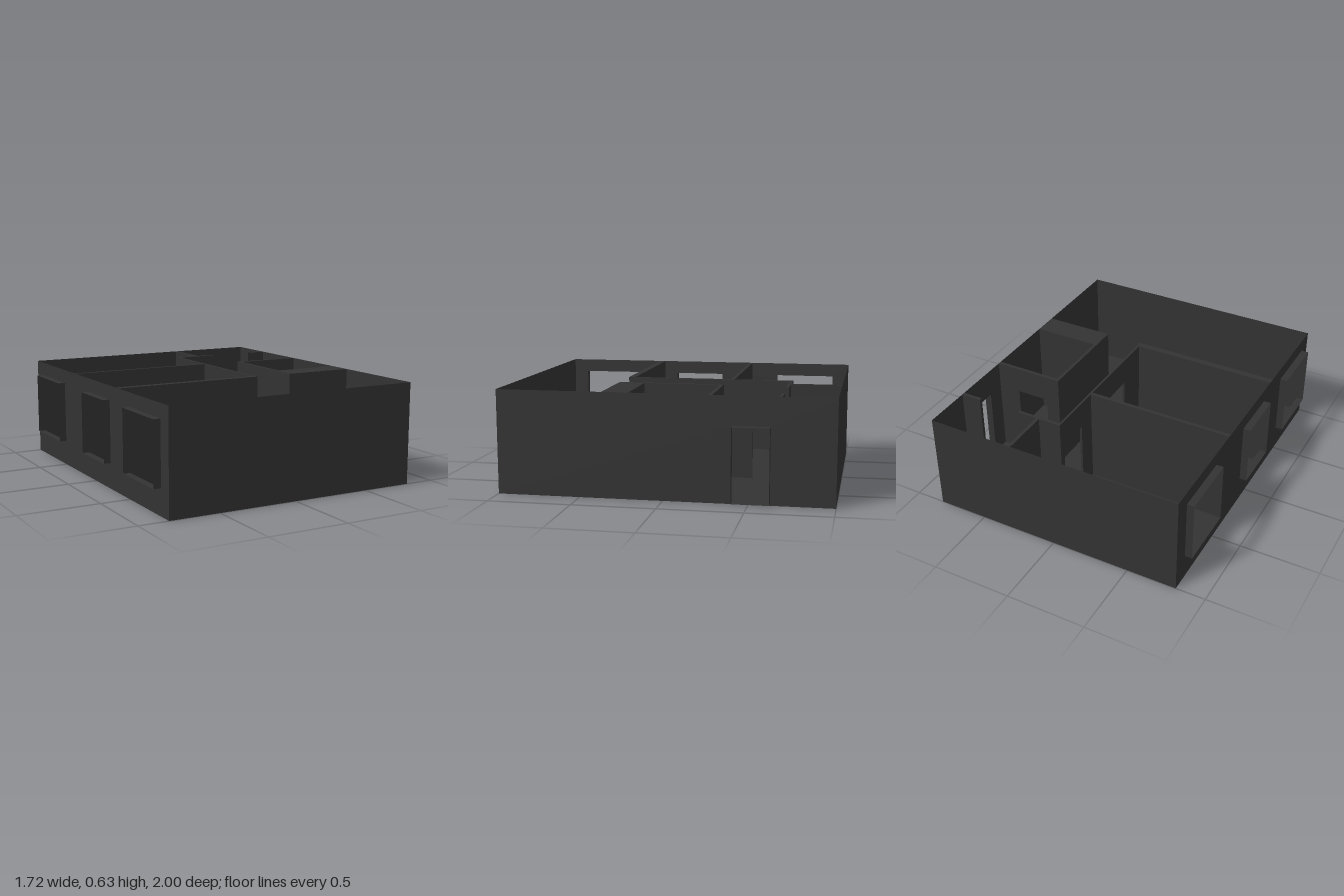
import * as THREE from 'three';

const H = 0.63;      // wall height
const X = 0.815;     // half width of the outer walls
const material = new THREE.MeshStandardMaterial({ color: 0x333333, side: THREE.DoubleSide });

// Wall outline from a to b; doors [from, to] are notches, windows [from, to, bottom, top] are holes.
function outline(a, b, doors = [], windows = []) {
  const shape = new THREE.Shape();
  shape.moveTo(a, 0);
  for (const [d0, d1] of doors) {
    shape.lineTo(d0, 0).lineTo(d0, 0.46).lineTo(d1, 0.46).lineTo(d1, 0);
  }
  shape.lineTo(b, 0).lineTo(b, H).lineTo(a, H).closePath();
  for (const [w0, w1, y0, y1] of windows) {
    const hole = new THREE.Path();
    hole.moveTo(w0, y0).lineTo(w0, y1).lineTo(w1, y1).lineTo(w1, y0).closePath();
    shape.holes.push(hole);
  }
  return shape;
}

function createGeometry(shape, thickness) {
  return thickness
    ? new THREE.ExtrudeGeometry(shape, { depth: thickness, bevelEnabled: false })
    : new THREE.ShapeGeometry(shape);
}

export function createModel() {
  const model = new THREE.Group();
  model.name = 'apartment';

  const add = (name, geometry) => {
    const mesh = new THREE.Mesh(geometry, material);
    mesh.name = name;
    model.add(mesh);
    return mesh;
  };
  // Wall running along x, filling z0 to z1
  const wallX = (name, a, b, z0, z1, doors) =>
    add(name, createGeometry(outline(a, b, doors), z1 - z0).translate(0, 0, z0));
  // Wall running along z, filling x0 to x1
  const wallZ = (name, a, b, x0, x1, doors, windows) =>
    add(name, createGeometry(outline(a, b, doors, windows), x1 - x0)
      .rotateY(-Math.PI / 2).translate(x1, 0, 0));

  // Floor
  add('floor', new THREE.PlaneGeometry(2 * X, 2).rotateX(-Math.PI / 2));

  // Thin outer walls with their openings
  const windows = [
    [-0.89, -0.495, 0.16, 0.545],
    [-0.1, 0.23, 0.16, 0.545],
    [0.51, 0.905, 0.16, 0.545],
  ];
  const entrance = [-0.625, -0.405, 0.01, 0.455];
  wallX('frontWall', -X, X, 1, 1);
  wallX('backWall', -X, X, -1, -1);
  wallZ('windowWall', -1, 1, -X, -X, [], windows);
  wallZ('entranceWall', -1, 1, X, X, [], [entrance]);

  // Thin sleeves that project around the openings
  const sleeve = (name, side, [z0, z1, y0, y1]) => {
    const group = new THREE.Group();
    group.name = name;
    const depth = 0.045, w = z1 - z0, h = y1 - y0;
    for (const y of [y0, y1]) {
      const slab = new THREE.Mesh(new THREE.PlaneGeometry(depth, w).rotateX(-Math.PI / 2), material);
      slab.position.set(side * (X + depth / 2), y, (z0 + z1) / 2);
      group.add(slab);
    }
    for (const z of [z0, z1]) {
      const jamb = new THREE.Mesh(new THREE.PlaneGeometry(depth, h), material);
      jamb.position.set(side * (X + depth / 2), (y0 + y1) / 2, z);
      group.add(jamb);
    }
    model.add(group);
  };
  windows.forEach((w) => sleeve('windowFrame', -1, w));
  sleeve('entranceFrame', 1, entrance);

  // Partitions of the rooms on the window side
  wallZ('corridorWall', -0.67, 0.32, 0.115, 0.13, [[-0.65, -0.44], [-0.1, 0.115]]);
  wallX('bedroomPartition', -X, 0.115, -0.32, -0.297);
  wallX('livingRoomPartition', -X, 0.13, 0.32, 0.36);

  // Partitions of the back room, with a full-height gap between them
  wallZ('backRoomPartition', -1, -0.69, 0.26, 0.28);
  wallX('backRoomWall', 0.115, 0.41, -0.69, -0.67);
  wallX('backRoomStub', 0.685, X, -0.69, -0.67);

  // Small enclosed room with one deep wall
  wallZ('smallRoomSideWall', -0.267, 0.2, 0.37, 0.39);
  wallX('smallRoomBackWall', 0.37, X, -0.29, -0.267, [[0.46, 0.67]]);
  wallX('smallRoomDeepWall', 0.37, X, 0.2, 0.36);

  return model;
}
